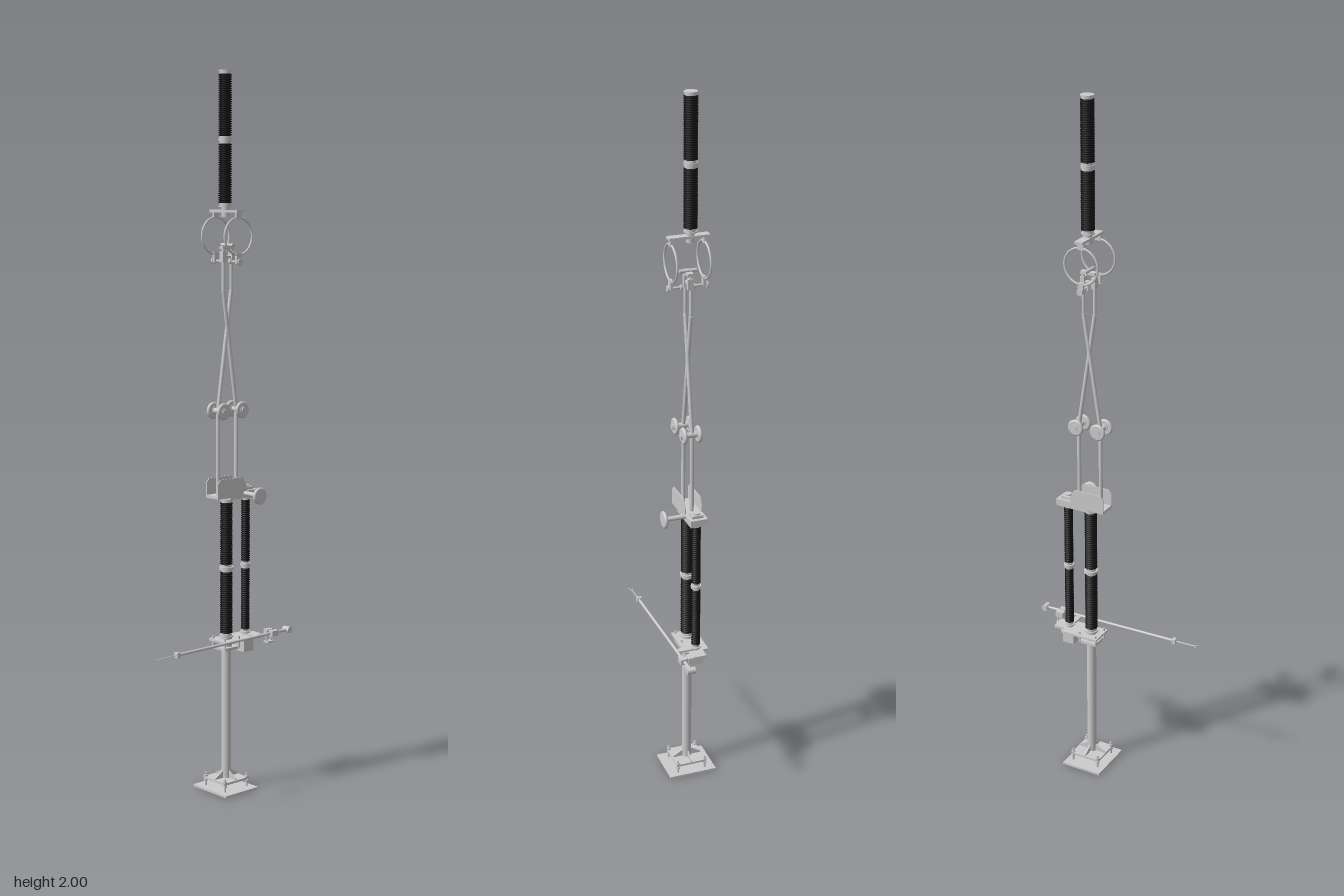
import * as THREE from 'three';

const mat = new THREE.MeshStandardMaterial({ color: 0xcccccc });
const shedMat = new THREE.MeshStandardMaterial({ color: 0x111111 });
const V = (x, y, z) => new THREE.Vector3(x, y, z);
const CX = 0.058, CZ = -0.01; // axis of the main column
const SX = 0.13; // axis of the slim drive insulator

function add(parent, name, geometry, material = mat) {
  const m = new THREE.Mesh(geometry, material);
  m.name = name;
  parent.add(m);
  return m;
}

// Box given by its extents along each axis
function box(parent, name, x0, x1, y0, y1, z0, z1) {
  const m = add(parent, name, new THREE.BoxGeometry(x1 - x0, y1 - y0, z1 - z0));
  m.position.set((x0 + x1) / 2, (y0 + y1) / 2, (z0 + z1) / 2);
  return m;
}

// Round bar between two points
function rod(parent, name, a, b, r, sides = 16) {
  const d = b.clone().sub(a);
  const m = add(parent, name, new THREE.CylinderGeometry(r, r, d.length(), sides));
  m.position.copy(a).add(b).multiplyScalar(0.5);
  m.quaternion.setFromUnitVectors(V(0, 1, 0), d.normalize());
  return m;
}

// Disc with a rounded rim, its axis along z
function wheel(parent, name, x, y, z, r, thick) {
  const h = thick / 2, pts = [new THREE.Vector2(0, -h)];
  for (let i = 0; i <= 8; i++) {
    const a = (i / 8 - 0.5) * Math.PI;
    pts.push(new THREE.Vector2(r - h + h * Math.cos(a), h * Math.sin(a)));
  }
  pts.push(new THREE.Vector2(0, h));
  const m = add(parent, name, new THREE.LatheGeometry(pts, 32));
  m.position.set(x, y, z);
  m.rotation.x = Math.PI / 2;
}

// Ribbed insulator: core with evenly stacked sheds and metal end caps
function insulator(parent, name, x, z, y0, y1, r, cap) {
  const g = new THREE.Group();
  g.name = name;
  const c = 0.01, core = r * 0.74, n = Math.round((y1 - y0 - 2 * c) / 0.006);
  const step = (y1 - y0 - 2 * c) / n;
  const pts = [new THREE.Vector2(0, y0 + c)];
  for (let i = 0; i < n; i++) {
    const y = y0 + c + i * step;
    pts.push(new THREE.Vector2(core, y), new THREE.Vector2(r, y + step * 0.35),
      new THREE.Vector2(r, y + step * 0.6));
  }
  pts.push(new THREE.Vector2(core, y1 - c), new THREE.Vector2(0, y1 - c));
  add(g, 'sheds', new THREE.LatheGeometry(pts, 24), shedMat).position.set(x, 0, z);
  for (const [a, b, f] of [[y0, y0 + c, y0], [y1 - c, y1, y1 - 0.004]]) {
    rod(g, 'endCap', V(x, a, z), V(x, b, z), r * 0.85, 24);
    rod(g, 'flange', V(x, f, z), V(x, f + 0.004, z), cap, 24);
  }
  parent.add(g);
}

function buildBase(g) {
  box(g, 'groundPlate', -0.005, 0.117, 0, 0.006, -0.08, 0.06);
  box(g, 'footPlate', 0.012, 0.102, 0.026, 0.032, -0.055, 0.035);
  for (const sx of [-1, 1]) for (const sz of [-1, 1]) {
    const x = CX + sx * 0.041, z = CZ + sz * 0.041;
    rod(g, 'anchorBolt', V(x, 0.004, z), V(x, 0.044, z), 0.003, 10);
    for (const y of [0.02, 0.032]) rod(g, 'anchorNut', V(x, y, z), V(x, y + 0.005, z), 0.006, 6);
  }
  // Triangular stiffeners around the foot of the column
  const s = new THREE.Shape([[0.01, 0.032], [0.042, 0.032], [0.042, 0.036], [0.01, 0.054]]
    .map(p => new THREE.Vector2(...p)));
  const gusset = new THREE.ExtrudeGeometry(s, { depth: 0.004, bevelEnabled: false }).translate(0, 0, -0.002);
  for (let i = 0; i < 4; i++) {
    const m = add(g, 'gusset', gusset);
    m.position.set(CX, 0, CZ);
    m.rotation.y = i * Math.PI / 2;
  }
  rod(g, 'column', V(CX, 0.03, CZ), V(CX, 0.415, CZ), 0.0135, 28);
}

function buildColumnHead(g) {
  box(g, 'headBlock', 0.032, 0.084, 0.405, 0.413, -0.035, 0.015);
  box(g, 'headPlate', 0.024, 0.14, 0.428, 0.434, -0.045, 0.025);
  for (const x of [0.031, 0.083]) for (const z of [-0.035, 0.015])
    rod(g, 'levelBolt', V(x, 0.407, z), V(x, 0.442, z), 0.003, 10);
  rod(g, 'headNeck', V(CX, 0.41, CZ), V(CX, 0.45, CZ), 0.016, 24);
  box(g, 'driveBox', 0.106, 0.142, 0.39, 0.428, -0.03, 0.012);
  box(g, 'driveBracket', 0.14, 0.172, 0.426, 0.434, -0.027, 0.015);
  rod(g, 'driveSpindle', V(SX, 0.425, CZ), V(SX, 0.45, CZ), 0.009, 20);
  box(g, 'driveCrank', 0.122, 0.138, 0.435, 0.44, -0.012, 0.05);
}

function buildOperatingRod(g) {
  rod(g, 'operatingRod', V(-0.18, 0.44, 0.054), V(0.24, 0.44, 0.045), 0.004);
  rod(g, 'rodCap', V(0.242, 0.44, 0.033), V(0.242, 0.44, 0.057), 0.009, 12);
  box(g, 'rodCollar', -0.183, -0.172, 0.433, 0.447, 0.046, 0.061);
  // Clamp of two jaws joined by a narrow web
  box(g, 'clampJaw', 0.172, 0.196, 0.432, 0.448, 0.02, 0.035);
  box(g, 'clampJaw', 0.172, 0.196, 0.432, 0.448, 0.044, 0.058);
  box(g, 'clampWeb', 0.178, 0.19, 0.434, 0.446, 0.034, 0.045);
  for (const x of [0.175, 0.193])
    rod(g, 'clampLeg', V(x, 0.412, 0.03), V(x, 0.436, 0.03), 0.003, 10);
  box(g, 'clampFoot', 0.172, 0.196, 0.41, 0.415, 0.022, 0.04);
  // Slender forked tip
  for (const s of [-1, 1]) {
    const path = new THREE.CatmullRomCurve3([V(-0.178, 0.44, 0.054 + s * 0.002),
      V(-0.215, 0.44, 0.055 + s * 0.002), V(-0.242, 0.44, 0.056 + s * 0.002), V(-0.249, 0.44, 0.056 + s * 0.007)]);
    add(g, 'forkTip', new THREE.TubeGeometry(path, 14, 0.001, 8));
  }
}

function buildGearHead(g) {
  // Open channel: floor between two chamfered side plates
  const s = new THREE.Shape([[0.005, 0.838], [0.11, 0.838], [0.11, 0.868], [0.096, 0.892],
    [0.014, 0.892], [0.005, 0.882]].map(p => new THREE.Vector2(...p)));
  const side = new THREE.ExtrudeGeometry(s, { depth: 0.003, bevelEnabled: false });
  for (const z of [-0.035, 0.012]) add(g, 'sidePlate', side).position.z = z;
  box(g, 'channelFloor', 0.005, 0.11, 0.838, 0.846, -0.034, 0.014);
  box(g, 'linkHousing', 0.05, 0.155, 0.832, 0.852, -0.035, 0.015);
  box(g, 'linkLug', 0.112, 0.144, 0.85, 0.86, -0.026, 0.006);
  rod(g, 'driveHub', V(SX, 0.826, CZ), V(SX, 0.864, CZ), 0.01, 20);
  rod(g, 'mainHub', V(CX, 0.825, CZ), V(CX, 0.845, CZ), 0.015, 24);
  rod(g, 'wheelShaft', V(0.106, 0.845, 0), V(0.106, 0.845, 0.072), 0.0065);
  wheel(g, 'handWheel', 0.106, 0.845, 0.074, 0.024, 0.01);
}

// Two scissor arms that cross, mirrored about their own centre line
function buildArms(g) {
  const ax = 0.06;
  for (const s of [-1, 1]) {
    const arm = new THREE.Group();
    arm.name = s < 0 ? 'rightArm' : 'leftArm';
    const x = ax + s * 0.034, xt = ax - s * 0.016, z = CZ + s * 0.002;
    rod(arm, 'lowerArm', V(x, 0.842, CZ), V(x, 1.08, CZ), 0.0055);
    rod(arm, 'upperArm', V(x, 1.08, CZ), V(xt, 1.41, z), 0.0055);
    rod(arm, 'tipArm', V(xt, 1.406, z), V(xt, 1.53, z), 0.0045);
    rod(arm, 'elbowPin', V(x, 1.08, -0.036), V(x, 1.08, 0.024), 0.008);
    for (const zr of [-0.028, 0.014]) {
      wheel(arm, 'elbowDisc', x, 1.08, zr, 0.0235, 0.01);
      rod(arm, 'elbowCap', V(x, 1.08, zr - 0.007), V(x, 1.08, zr + 0.007), 0.011, 20);
    }
    box(arm, 'tipClamp', xt - 0.006, xt + 0.006, 1.485, 1.515, CZ - 0.008, CZ + 0.008);
    g.add(arm);
  }
  box(g, 'contactHead', 0.038, 0.082, 1.522, 1.53, -0.018, -0.002);
  rod(g, 'contactBar', V(ax, 1.532, -0.033), V(ax, 1.532, 0.015), 0.005);
  box(g, 'tipSpacer', 0.043, 0.077, 1.496, 1.503, -0.015, -0.005);
}

function buildContactRings(g) {
  for (const z of [-0.055, 0.037]) {
    const s = z < CZ ? -1 : 1;
    add(g, 'contactRing', new THREE.TorusGeometry(0.05, 0.003, 10, 48)).position.set(CX, 1.557, z);
    rod(g, 'ringTerminal', V(CX, 1.488, z - s * 0.028), V(CX, 1.488, z + s * 0.006), 0.0035, 12);
    rod(g, 'terminalEnd', V(CX, 1.488, z + s * 0.006), V(CX, 1.488, z + s * 0.01), 0.009, 16);
    rod(g, 'terminalCap', V(CX, 1.488, z - s * 0.03), V(CX, 1.488, z - s * 0.026), 0.007, 16);
    box(g, 'ringClamp', CX - 0.008, CX + 0.008, 1.484, 1.512, z - 0.004, z + 0.004);
    box(g, 'ringHanger', CX - 0.009, CX + 0.009, 1.602, 1.624, z - 0.003, z + 0.003);
  }
  box(g, 'ringBridge', 0.046, 0.07, 1.62, 1.627, -0.068, 0.045);
  rod(g, 'bridgeNeck', V(CX, 1.608, -0.016), V(CX, 1.65, -0.016), 0.011, 20);
}

export function createModel() {
  const model = new THREE.Group();
  model.name = 'pantographSwitch';
  const part = (name, build) => {
    const g = new THREE.Group();
    g.name = name;
    build(g);
    model.add(g);
  };
  part('base', buildBase);
  part('columnHead', buildColumnHead);
  part('operatingLever', buildOperatingRod);
  part('gearHead', buildGearHead);
  part('scissorArms', buildArms);
  part('contactRings', buildContactRings);
  part('insulators', g => {
    for (const [y0, y1] of [[0.44, 0.636], [0.636, 0.832]]) {
      insulator(g, 'mainInsulator', CX, CZ, y0, y1, 0.0175, 0.02);
      insulator(g, 'driveInsulator', SX, CZ, y0, y1, 0.0125, 0.0145);
    }
    for (const [y0, y1] of [[1.635, 1.815], [1.815, 2]])
      insulator(g, 'upperInsulator', CX, -0.017, y0, y1, 0.0185, 0.018);
  });
  return model;
}
